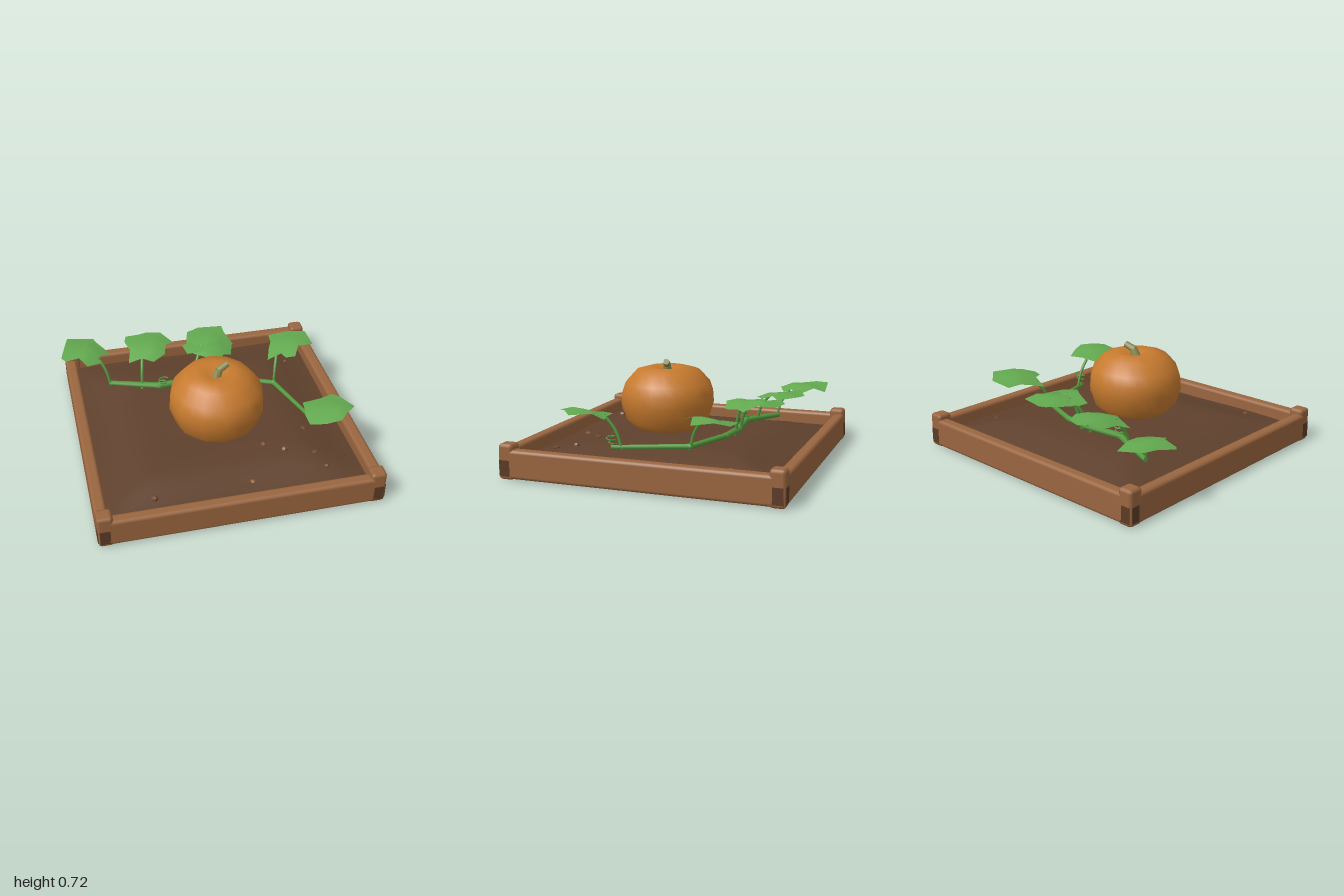
import * as THREE from 'three';
import { RoundedBoxGeometry } from 'three/addons/geometries/RoundedBoxGeometry.js';
import { mergeVertices } from 'three/addons/utils/BufferGeometryUtils.js';

function material(name, color, side = THREE.FrontSide) {
  const m = new THREE.MeshStandardMaterial({ color, side });
  m.name = name;
  return m;
}

const V = (x, y, z) => new THREE.Vector3(x, y, z);

// Soil is mounded in the middle and sinks towards the frame
function soilHeight(x, z) {
  const edge = 0.93 - Math.max(Math.abs(x), Math.abs(z));
  const wave = 0.006 * Math.sin(5 * x + 1) * Math.cos(4 * z);
  return 0.11 + 0.085 * THREE.MathUtils.smoothstep(edge, 0, 0.45) + wave;
}

export function createModel() {
  const root = new THREE.Group();
  root.name = 'pumpkinBed';
  const wood = material('wood', 0x99653f);
  const darkWood = material('darkWood', 0x5c3b26);
  const soil = material('soil', 0x5f412d, THREE.DoubleSide);
  const orange = material('pumpkinOrange', 0xc67a2e);
  const olive = material('stemOlive', 0x8d8b52);
  const leafGreen = material('leafGreen', 0x62a84f, THREE.DoubleSide);
  const vineGreen = material('vineGreen', 0x55993f);
  const stoneBrown = material('stoneBrown', 0x70492f);
  stoneBrown.flatShading = true;

  function add(name, geometry, mat, x = 0, y = 0, z = 0) {
    const mesh = new THREE.Mesh(geometry, mat);
    mesh.name = name;
    mesh.position.set(x, y, z);
    root.add(mesh);
    return mesh;
  }

  // Tapered round bar between two points
  function bar(name, a, b, ra, rb, mat, sides = 7) {
    const dir = b.clone().sub(a);
    const mesh = add(name, new THREE.CylinderGeometry(rb, ra, dir.length(), sides), mat);
    mesh.position.copy(a).lerp(b, 0.5);
    mesh.quaternion.setFromUnitVectors(V(0, 1, 0), dir.normalize());
  }

  // Timber frame: four rails and four corner posts
  const longRail = new RoundedBoxGeometry(1.84, 0.2, 0.084, 2, 0.024);
  const sideRail = new RoundedBoxGeometry(0.084, 0.2, 1.84, 2, 0.024);
  add('frontRail', longRail, wood, 0.015, 0.107, 0.93);
  add('backRail', longRail, wood, 0.015, 0.107, -0.94);
  add('leftRail', sideRail, wood, 0.955, 0.107, -0.005);
  add('rightRail', sideRail, wood, -0.918, 0.107, -0.005);
  for (const sx of [-1, 1]) for (const sz of [-1, 1]) {
    const x = 0.02 + sx * 0.924, z = -0.005 + sz * 0.922;
    add('cornerPost', new RoundedBoxGeometry(0.108, 0.245, 0.108, 1, 0.024), wood, x, 0.1225, z);
    // worn dark patches on the two outer faces
    add('postPatch', new THREE.BoxGeometry(0.07, 0.11, 0.004), darkWood, x + sx * 0.005, 0.08, z + sz * 0.053);
    add('postPatch', new THREE.BoxGeometry(0.004, 0.11, 0.07), darkWood, x + sx * 0.053, 0.08, z + sz * 0.005);
  }

  // Soil sheet
  const ground = new THREE.PlaneGeometry(1.87, 1.86, 24, 24).rotateX(-Math.PI / 2);
  const gp = ground.attributes.position;
  for (let i = 0; i < gp.count; i++) gp.setY(i, soilHeight(gp.getX(i), gp.getZ(i)));
  ground.computeVertexNormals();
  add('soil', ground, soil, 0.015, 0, -0.005);

  // Pumpkin: a lathe with shallow ribs
  const profile = [[0, 0.18], [0.07, 0.182], [0.16, 0.203], [0.24, 0.222], [0.3, 0.28], [0.338, 0.4],
    [0.332, 0.48], [0.308, 0.55], [0.23, 0.635], [0.14, 0.66], [0.07, 0.648], [0, 0.615]];
  let body = new THREE.LatheGeometry(profile.map(p => new THREE.Vector2(...p)), 24);
  const bp = body.attributes.position;
  for (let i = 0; i < bp.count; i++) {
    const k = 0.99 + 0.012 * Math.cos(12 * Math.atan2(bp.getX(i), bp.getZ(i)));
    bp.setX(i, bp.getX(i) * k);
    bp.setZ(i, bp.getZ(i) * k);
  }
  body.deleteAttribute('normal');
  body.deleteAttribute('uv');
  body = mergeVertices(body, 1e-4);
  body.computeVertexNormals();
  add('pumpkin', body, orange, 0.017, 0, 0.14);
  bar('pumpkinStem', V(0.012, 0.61, 0.145), V(0.035, 0.678, 0.14), 0.036, 0.027, olive, 8);
  bar('pumpkinStem', V(0.026, 0.67, 0.142), V(0.098, 0.704, 0.122), 0.027, 0.022, olive, 8);

  // Creeping vine
  const vine = [V(-0.66, 0.212, -0.51), V(-0.3, 0.235, -0.36), V(0, 0.235, -0.39), V(0.2, 0.228, -0.36),
    V(0.55, 0.222, -0.22), V(0.71, 0.212, 0.28)];
  const vineRadius = [0.018, 0.024, 0.024, 0.02, 0.018, 0.014];
  for (let i = 0; i < vine.length - 1; i++) {
    bar('vine', vine[i], vine[i + 1], vineRadius[i], vineRadius[i + 1], vineGreen);
    if (i) add('vineNode', new THREE.SphereGeometry(vineRadius[i] * 1.15, 8, 6), vineGreen, ...vine[i].toArray());
  }

  // Leaf: rings of an outline (x, z pairs) about a centre, tilted and drooping
  function leaf({ centre: [cx, cy, cz], tilt: [tx, tz], outline, root: base, joint }) {
    const n = outline.length / 2;
    const height = (x, z) => cy + tx * (x - cx) + tz * (z - cz)
      - 0.9 * ((x - cx) ** 2 + (z - cz) ** 2) + 0.014 * Math.sin(16 * (x - cx) + 12 * (z - cz));
    const pos = [cx, cy, cz], index = [];
    for (const s of [0.5, 1]) for (let i = 0; i < n; i++) {
      const x = cx + (outline[2 * i] - cx) * s, z = cz + (outline[2 * i + 1] - cz) * s;
      pos.push(x, height(x, z), z);
    }
    for (let i = 0; i < n; i++) {
      const a = 1 + i, b = 1 + (i + 1) % n;
      index.push(0, b, a, a, b, b + n, a, b + n, a + n);
    }
    const g = new THREE.BufferGeometry();
    g.setAttribute('position', new THREE.Float32BufferAttribute(pos, 3));
    g.setIndex(index);
    g.computeVertexNormals();
    add('leaf', g, leafGreen);

    // bowed stalk from the vine to the leaf
    const a = V(base[0], 0.2, base[1]);
    const b = V(joint[0], height(...joint) - 0.004, joint[1]);
    const mid = a.clone().lerp(b, 0.35).setY(a.y + (b.y - a.y) * 0.55);
    add('leafStalk', new THREE.TubeGeometry(new THREE.CatmullRomCurve3([a, mid, b]), 8, 0.011, 6), vineGreen);
  }
  leaf({ centre: [-0.82, 0.44, -0.68], tilt: [-0.13, -0.08], root: [-0.655, -0.5], joint: [-0.725, -0.58],
    outline: [-0.93, -0.84, -0.73, -0.855, -0.72, -0.77, -0.63, -0.66, -0.71, -0.6, -0.71, -0.54,
      -0.82, -0.49, -0.87, -0.57, -0.97, -0.58, -1, -0.62, -0.96, -0.74] });
  leaf({ centre: [-0.33, 0.455, -0.61], tilt: [-0.02, -0.16], root: [-0.43, -0.4], joint: [-0.4, -0.52],
    outline: [-0.49, -0.75, -0.38, -0.76, -0.32, -0.79, -0.22, -0.76, -0.145, -0.63, -0.21, -0.58,
      -0.23, -0.5, -0.33, -0.43, -0.41, -0.48, -0.51, -0.49, -0.48, -0.6, -0.51, -0.69] });
  leaf({ centre: [0.1, 0.475, -0.57], tilt: [0.02, -0.1], root: [-0.04, -0.385], joint: [0.05, -0.5],
    outline: [-0.05, -0.57, -0.02, -0.69, 0.08, -0.745, 0.26, -0.72, 0.255, -0.61, 0.3, -0.51,
      0.23, -0.44, 0.17, -0.36, 0.06, -0.37, -0.02, -0.44] });
  leaf({ centre: [0.11, 0.47, -0.5], tilt: [-0.04, 0.02], root: [0.05, -0.38], joint: [0.12, -0.46],
    outline: [-0.09, -0.54, 0.02, -0.59, 0.09, -0.68, 0.2, -0.62, 0.2, -0.56, 0.29, -0.5,
      0.25, -0.37, 0.13, -0.34, 0.05, -0.4, -0.07, -0.44] });
  leaf({ centre: [0.7, 0.46, -0.4], tilt: [0.14, -0.02], root: [0.55, -0.22], joint: [0.59, -0.31],
    outline: [0.6, -0.57, 0.78, -0.57, 0.87, -0.49, 0.885, -0.34, 0.76, -0.31, 0.71, -0.22,
      0.64, -0.23, 0.62, -0.29, 0.52, -0.3, 0.56, -0.41, 0.59, -0.47] });
  leaf({ centre: [0.74, 0.465, 0.45], tilt: [0.12, 0.04], root: [0.69, 0.21], joint: [0.7, 0.33],
    outline: [0.6, 0.31, 0.73, 0.3, 0.83, 0.27, 0.85, 0.35, 0.92, 0.48, 0.84, 0.55,
      0.78, 0.61, 0.67, 0.61, 0.58, 0.54, 0.575, 0.45, 0.59, 0.38] });

  // Coiled tendrils
  for (const [x, z, lean] of [[0.7, 0.26, 0.03], [-0.31, -0.365, 0.04]]) {
    const pts = [];
    for (let i = 0; i <= 36; i++) {
      const t = i / 36, a = t * 6 * Math.PI, r = 0.018 + 0.016 * t;
      pts.push(V(x + lean * t + r * Math.cos(a), 0.215 + 0.085 * t, z + 0.02 * t + r * Math.sin(a)));
    }
    add('tendril', new THREE.TubeGeometry(new THREE.CatmullRomCurve3(pts), 72, 0.005, 5), vineGreen);
  }

  // Pebbles on the soil
  const pebbles = [[-0.55, 0.75, 0.027], [0.13, 0.73, 0.018], [0.66, 0.71, 0.02], [0.42, 0.51, 0.025],
    [0.29, 0.44, 0.027], [0.62, 0.58, 0.022], [0.62, 0.3, 0.02], [0.75, -0.57, 0.02]];
  pebbles.forEach(([x, z, r], i) => {
    const p = add('pebble', new THREE.DodecahedronGeometry(r), i === 1 ? wood : stoneBrown, x, soilHeight(x, z) + 0.003, z);
    p.scale.y = 0.75;
    p.rotation.y = i * 1.3;
  });

  return root;
}
